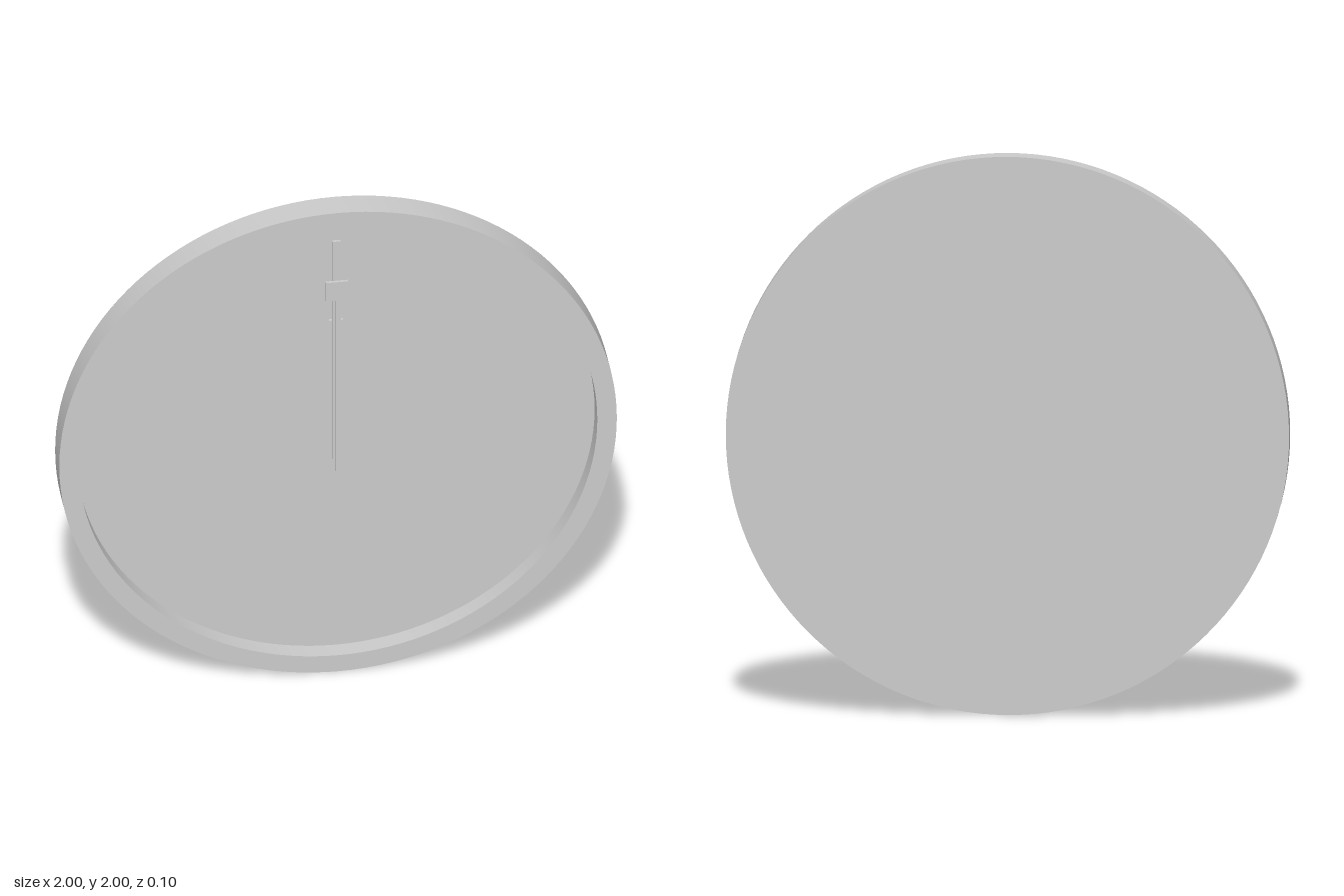
import * as THREE from 'three';
import { toCreasedNormals } from 'three/addons/utils/BufferGeometryUtils.js';

const SEGMENTS = 128;
const CENTRE_Y = 1;
const FACE_Z = -0.015;

export function createModel() {
  const clock = new THREE.Group();
  clock.name = 'wallClock';
  const material = new THREE.MeshStandardMaterial({ color: 0xcccccc });

  function add(parent, name, geometry, x, y, z) {
    const mesh = new THREE.Mesh(geometry, material);
    mesh.name = name;
    mesh.position.set(x, y, z);
    parent.add(mesh);
    return mesh;
  }

  // Box hand part given by its width, vertical span and depth span
  function addBar(parent, name, width, y0, y1, z0, z1) {
    const geometry = new THREE.BoxGeometry(width, y1 - y0, z1 - z0);
    return add(parent, name, geometry, 0, (y0 + y1) / 2, (z0 + z1) / 2);
  }

  // Case: flat back, outer wall, front lip and inner wall (radius, depth)
  const profile = [
    [0, -0.05], [1, -0.05], [1, 0.05], [0.93, 0.05], [0.93, FACE_Z],
  ].map(([r, d]) => new THREE.Vector2(r, d));
  const caseGeometry = new THREE.LatheGeometry(profile, SEGMENTS);
  caseGeometry.rotateX(Math.PI / 2);
  add(clock, 'case', toCreasedNormals(caseGeometry, Math.PI / 6), 0, CENTRE_Y, 0);

  // Recessed dial, turned so its edge meets the inner wall
  const dial = new THREE.CircleGeometry(0.93, SEGMENTS);
  add(clock, 'dial', dial, 0, CENTRE_Y, FACE_Z);

  // Hands, stacked from back to front
  const hands = new THREE.Group();
  hands.name = 'hands';
  clock.add(hands);
  addBar(hands, 'hourHand', 0.05, 0.9, 1.5, -0.005, 0.005);
  addBar(hands, 'minuteHand', 0.03, 0.9, 1.85, 0.005, 0.015);

  const secondHand = new THREE.Group();
  secondHand.name = 'secondHand';
  hands.add(secondHand);
  addBar(secondHand, 'secondHandRod', 0.01, 0.85, 1.6, 0.015, 0.025);
  addBar(secondHand, 'secondHandTip', 0.08, 1.6, 1.68, 0.015, 0.025);

  return clock;
}
